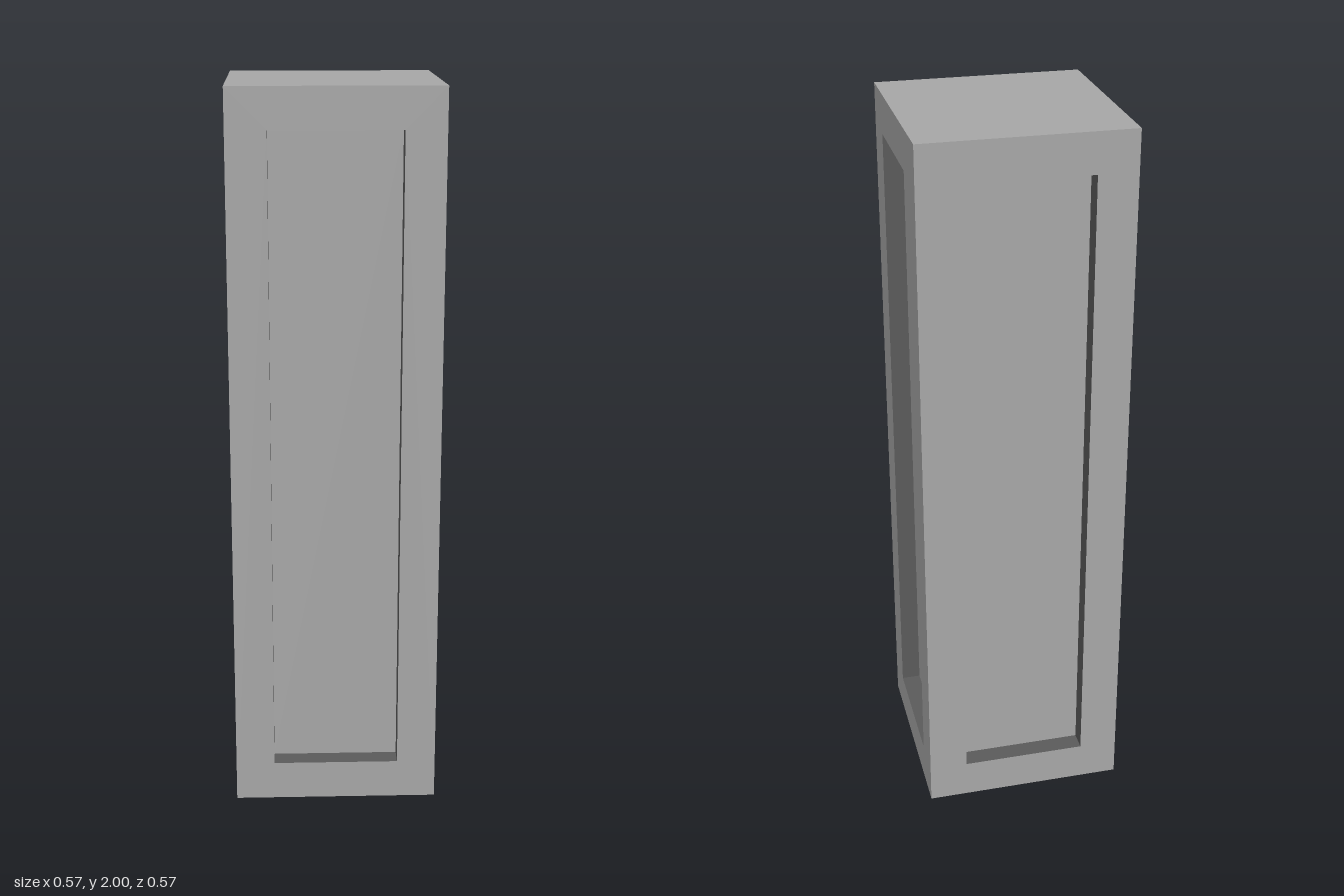
import * as THREE from 'three';

const HALF = 0.283, HEIGHT = 2, DEPTH = 0.054;
const INNER = 0.175, BORDER = 0.11; // opening half width, border above and below it
const Q = Math.PI / 2;

export function createModel() {
  const grey = new THREE.MeshStandardMaterial({ color: 0xa6a6a6 });
  grey.name = 'light grey';
  const darkGrey = new THREE.MeshStandardMaterial({ color: 0x5a5a5a });
  darkGrey.name = 'dark grey';
  const model = new THREE.Group();
  model.name = 'panelledPillar';

  const add = (parent, name, geometry, material, x, y, z, rx = 0, ry = 0) => {
    const mesh = new THREE.Mesh(geometry, material);
    mesh.name = name;
    mesh.position.set(x, y, z);
    mesh.rotation.set(rx, ry, 0);
    parent.add(mesh);
  };

  // Face border with a rectangular opening
  const rect = (path, w, y0, y1) => {
    path.moveTo(-w, y0).lineTo(w, y0).lineTo(w, y1).lineTo(-w, y1).closePath();
    return path;
  };
  const outline = rect(new THREE.Shape(), HALF, 0, HEIGHT);
  outline.holes.push(rect(new THREE.Path(), INNER, BORDER, HEIGHT - BORDER));
  const frame = new THREE.ShapeGeometry(outline);

  // Recessed panel and the dark reveals around it
  const panelHeight = HEIGHT - 2 * BORDER;
  const panel = new THREE.PlaneGeometry(2 * INNER, panelHeight);
  const jamb = new THREE.PlaneGeometry(DEPTH, panelHeight);
  const ledge = new THREE.PlaneGeometry(2 * INNER, DEPTH);
  const mid = HEIGHT / 2, zMid = HALF - DEPTH / 2;

  // Four identical sides
  ['front', 'left', 'back', 'right'].forEach((name, i) => {
    const side = new THREE.Group();
    side.name = name + 'Side';
    side.rotation.y = i * Q;
    add(side, 'frame', frame, grey, 0, 0, HALF);
    add(side, 'recessedPanel', panel, grey, 0, mid, HALF - DEPTH);
    for (const s of [-1, 1]) {
      add(side, 'jamb', jamb, darkGrey, s * INNER, mid, zMid, 0, -s * Q);
      add(side, s < 0 ? 'sill' : 'lintel', ledge, darkGrey, 0, mid + s * panelHeight / 2, zMid, s * Q);
    }
    model.add(side);
  });

  // Top and bottom
  const cap = new THREE.PlaneGeometry(2 * HALF, 2 * HALF);
  add(model, 'top', cap, grey, 0, HEIGHT, 0, -Q);
  add(model, 'base', cap, grey, 0, 0, 0, Q);
  return model;
}
